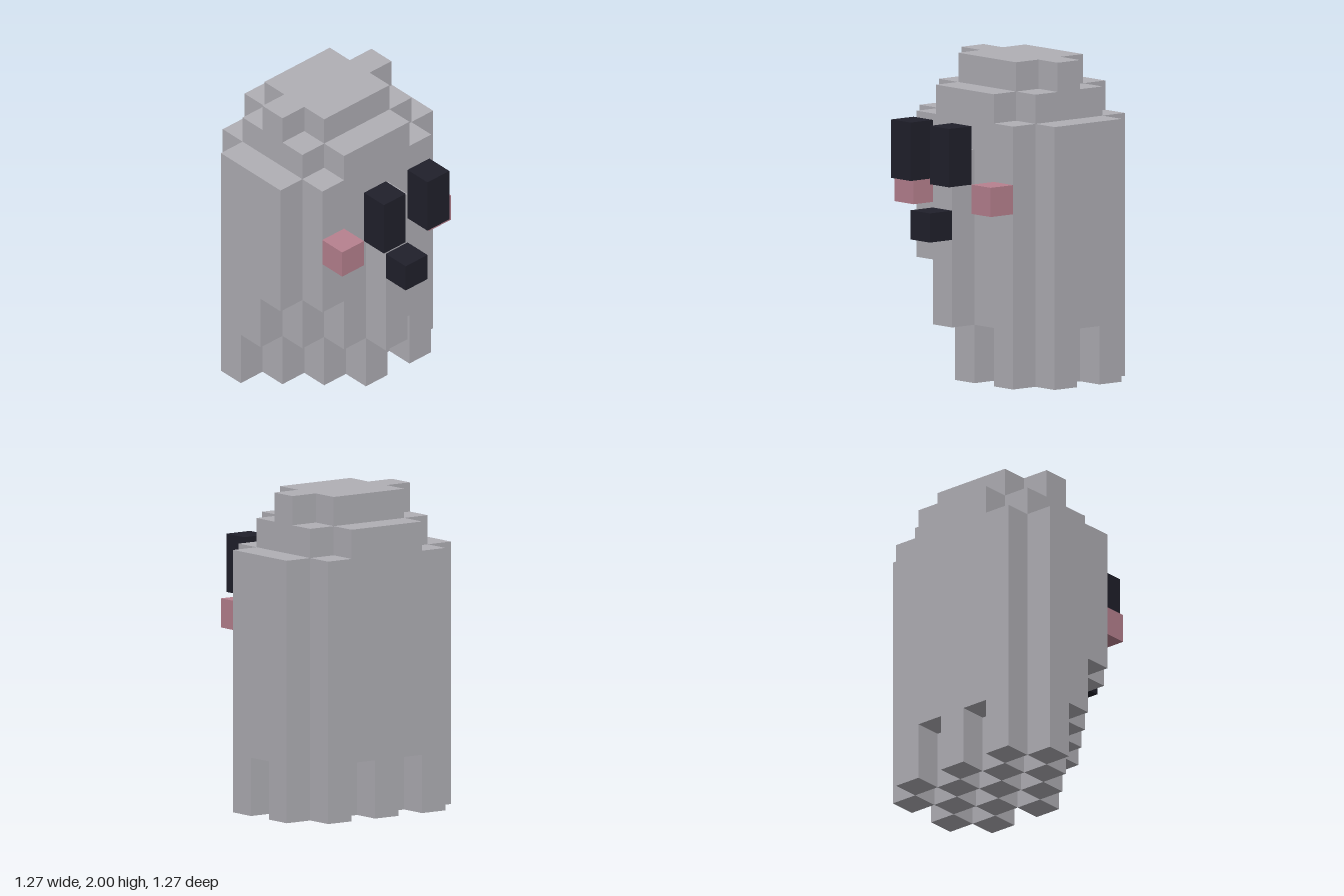
import * as THREE from 'three';

const U = 2 / 11; // one block
const HALF = 3.5; // half the footprint, in blocks

export function createModel() {
  const material = (name, color) => Object.assign(new THREE.MeshStandardMaterial({ color }), { name });
  const grey = material('grey', 0xb0afb5);
  const pink = material('pink', 0xb7818f);
  const black = material('black', 0x20202b);

  const model = new THREE.Group();
  model.name = 'ghost';

  const add = (name, geometry, mat, parent = model) => {
    const mesh = new THREE.Mesh(geometry, mat);
    mesh.name = name;
    parent.add(mesh);
  };

  // Box from block corner (x, y, z) with a size in blocks
  const block = (name, mat, [x, y, z], [w, h, d], parent) => {
    const geometry = new THREE.BoxGeometry(w * U, h * U, d * U);
    geometry.translate((x + w / 2 - HALF) * U, (y + h / 2) * U, (z + d / 2 - HALF) * U);
    add(name, geometry, mat, parent);
  };

  // Upright prism over a stepped outline of [x, z] block corners
  const prism = (name, outline, y0, y1) => {
    const shape = new THREE.Shape(outline.map(([x, z]) => new THREE.Vector2((x - HALF) * U, (HALF - z) * U)));
    const geometry = new THREE.ExtrudeGeometry(shape, { depth: (y1 - y0) * U, bevelEnabled: false });
    geometry.rotateX(-Math.PI / 2).translate(0, y0 * U, 0);
    add(name, geometry, grey);
  };

  // Body, with the right front corner cut away lower down
  const backAndLeft = [[0, 1], [1, 1], [1, 0], [6, 0], [6, 1], [7, 1], [7, 4], [6, 4], [6, 5]];
  prism('lowerBody', [...backAndLeft, [2, 5], [2, 4], [1, 4], [1, 3], [0, 3]], 2, 4);
  prism('body', [...backAndLeft, [1, 5], [1, 4], [0, 4]], 4, 9);

  // Stepped head
  prism('crown', [[2, 0], [5, 0], [5, 1], [6, 1], [6, 4], [5, 4], [5, 5], [2, 5], [2, 4], [1, 4], [1, 1], [2, 1]], 9, 10);
  prism('headTop', [[2, 1], [5, 1], [5, 2], [6, 2], [6, 3], [5, 3], [5, 4], [2, 4], [2, 3], [1, 3], [1, 2], [2, 2]], 10, 11);

  // Ragged hem: a chequered set of legs
  const hem = new THREE.Group();
  hem.name = 'hem';
  model.add(hem);
  const legColumns = [[1, 3, 5], [0, 2, 4, 6], [1, 3, 5], [2, 4, 6], [3, 5]];
  legColumns.forEach((columns, z) => {
    for (const x of columns) block('leg', grey, [x, 0, z], [1, 2, 1], hem);
  });

  // Ridge down the front
  block('frontRidge', grey, [3, 2, 5], [1, 6, 1]);

  // Face
  block('mouth', black, [3, 5, 6], [1, 1, 1]);
  for (const [side, s] of [['left', 1], ['right', -1]]) {
    block(side + 'Eye', black, [3 + s, 7, 6], [1, 2, 1]);
    block(side + 'Cheek', pink, [3 + 2 * s, 6, 5], [1, 1, 1]);
  }

  return model;
}
